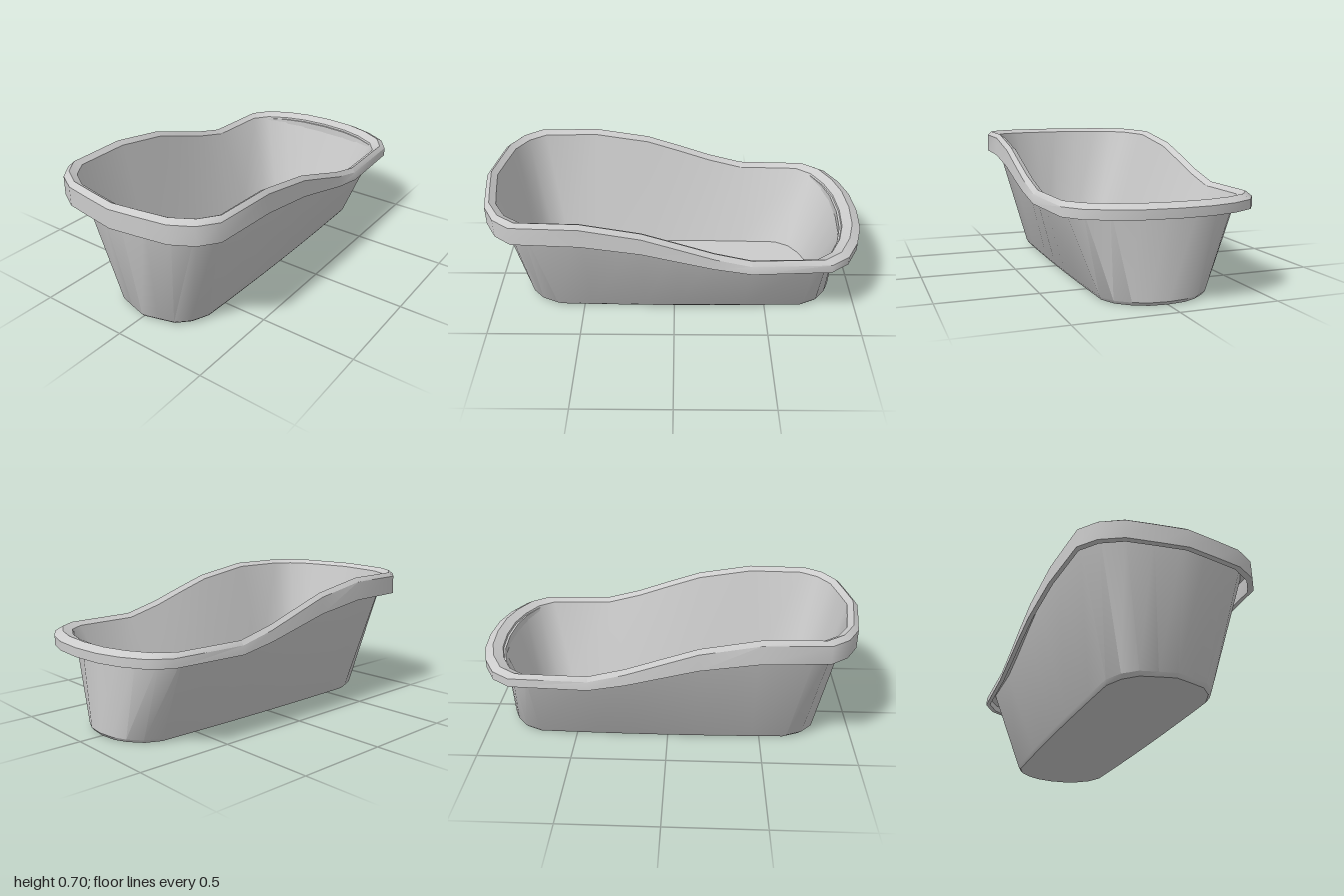
import * as THREE from 'three';
import { toCreasedNormals } from 'three/addons/utils/BufferGeometryUtils.js';

// Height blend along z: 1 at the tall front, 0 at the low back
const SIDE = [[0.46, 1], [0.16, 0.77], [-0.02, 0.5], [-0.2, 0.22], [-0.39, 0]];
function blend(z) {
  if (z >= SIDE[0][0]) return 1;
  for (let i = 1; i < SIDE.length; i++) {
    const [z0, f0] = SIDE[i - 1], [z1, f1] = SIDE[i];
    if (z >= z1) return f1 + (f0 - f1) * (z - z1) / (z0 - z1);
  }
  return 0;
}
const rimTop = (z) => 0.485 + 0.22 * blend(z);
const lipBottom = (z) => 0.418 + 0.167 * blend(z);
const below = (d) => (z) => rimTop(z) - d;
const flat = (y) => () => y;

// Rounded ends as [share of half width, share of end depth]
const FRONT = [[0, 1], [0.32, 0.885], [0.63, 0.76], [0.86, 0.45], [1, 0]];
const BACK = [[1, 0], [0.86, 0.45], [0.61, 0.76], [0.34, 0.94], [0, 1]];

// One closed outline: half width w, side bulge b, corner and tip z at both ends, height rule
function ring([w, b, cf, zf, cb, zb, y]) {
  const mid = (cf + cb) / 2, half = (cf - cb) / 2;
  const pts = [
    ...FRONT.map(([u, v]) => [u * w, cf + v * (zf - cf)]),
    ...SIDE.map(([z]) => [w + b * (1 - ((z - mid) / half) ** 2), z]),
    ...BACK.map(([u, v]) => [u * w, cb + v * (zb - cb)]),
  ];
  const mirrored = pts.slice(1, -1).reverse().map(([x, z]) => [-x, z]);
  return [...pts, ...mirrored].map(([x, z]) => new THREE.Vector3(x, y(z), z));
}

// Skin a series of outlines
function loft(name, specs, material) {
  const rings = specs.map(ring), pos = [];
  const tri = (a, b, c) => {
    const area = b.clone().sub(a).cross(c.clone().sub(a)).length();
    if (area > 1e-9) for (const p of [a, b, c]) pos.push(p.x, p.y, p.z);
  };
  for (let i = 0; i < rings.length - 1; i++) {
    const lo = rings[i], hi = rings[i + 1], n = lo.length;
    for (let j = 0; j < n; j++) {
      const k = (j + 1) % n;
      tri(lo[j], lo[k], hi[k]);
      tri(lo[j], hi[k], hi[j]);
    }
  }
  const geo = new THREE.BufferGeometry();
  geo.setAttribute('position', new THREE.Float32BufferAttribute(pos, 3));
  const mesh = new THREE.Mesh(toCreasedNormals(geo, 0.6), material);
  mesh.name = name;
  return mesh;
}

export function createModel() {
  const group = new THREE.Group();
  group.name = 'bathtub';
  const grey = new THREE.MeshStandardMaterial({ color: 0xcccccc, side: THREE.DoubleSide });

  const wallTop = [0.442, 0.01, 0.745, 0.95, -0.71, -0.89, below(0.03)];
  const innerEdge = [0.432, 0.015, 0.75, 0.945, -0.72, -0.905, below(0.02)];

  // Underside, bottom bevel and tapering outer wall
  group.add(loft('outerWall', [
    [0, 0, 0.63, 0.825, -0.7, -0.875, flat(0)],
    [0.258, 0.01, 0.63, 0.825, -0.7, -0.875, flat(0)],
    [0.27, 0.012, 0.65, 0.84, -0.71, -0.89, flat(0.018)],
    wallTop,
  ], grey));

  // Overhanging rim: groove, hanging lip, bevelled top
  group.add(loft('rim', [
    wallTop,
    [0.458, 0.024, 0.775, 0.972, -0.775, -0.975, below(0.03)],
    [0.458, 0.024, 0.775, 0.972, -0.775, -0.975, lipBottom],
    [0.478, 0.027, 0.8, 1, -0.79, -1, lipBottom],
    [0.476, 0.022, 0.8, 1, -0.79, -1, below(0.022)],
    [0.46, 0.018, 0.775, 0.975, -0.755, -0.955, below(0)],
    innerEdge,
  ], grey));

  // Sloping inside walls and floor
  group.add(loft('innerBasin', [
    innerEdge,
    [0.262, 0.01, 0.65, 0.81, -0.61, -0.778, flat(0.04)],
    [0, 0, 0.65, 0.81, -0.61, -0.778, flat(0.04)],
  ], grey));

  return group;
}
